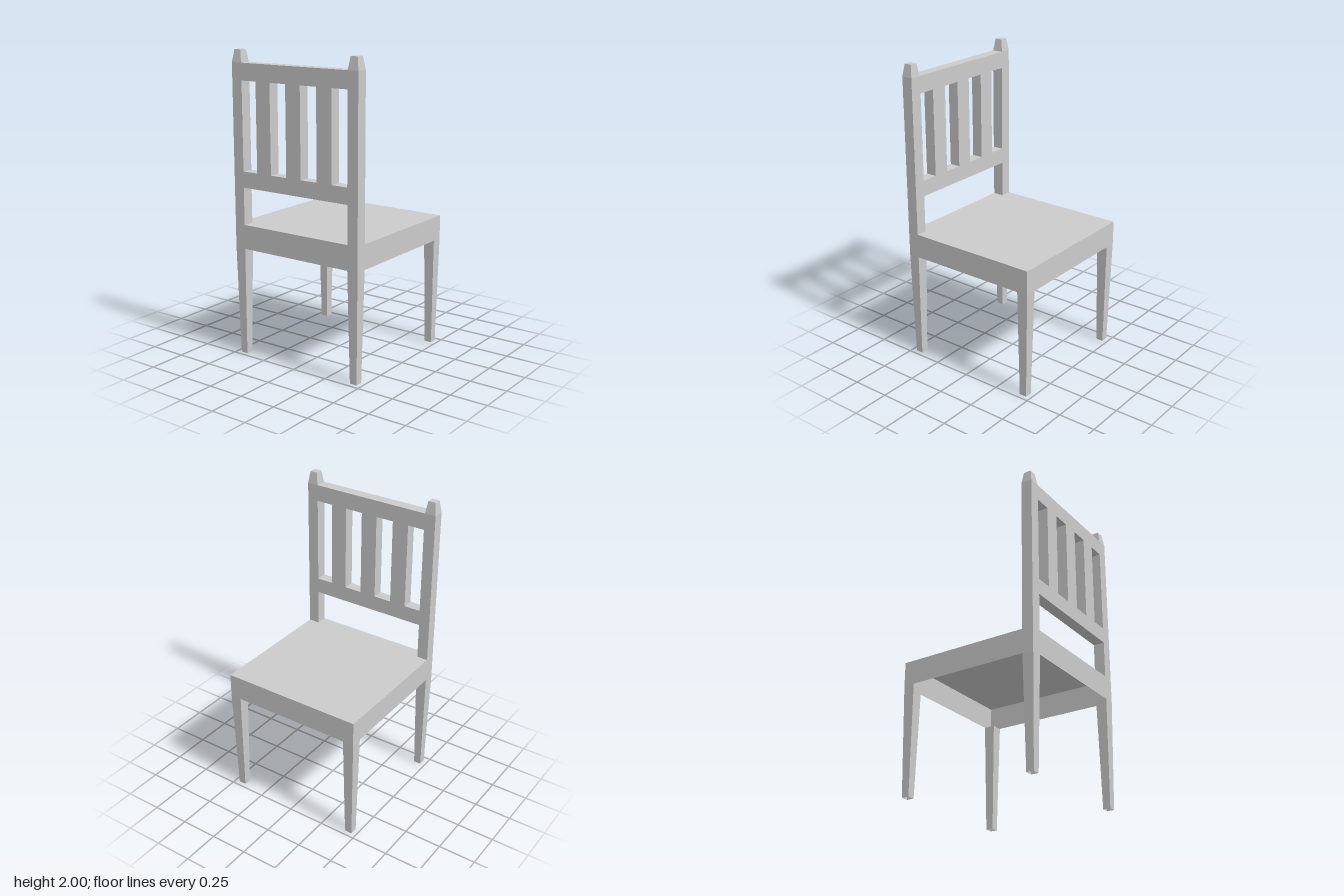
import * as THREE from 'three';

const material = new THREE.MeshStandardMaterial({ color: 0xcccccc, flatShading: true, side: THREE.DoubleSide });
const HALF = 0.48;      // half of the seat's width and depth
const POST = 0.0375;    // half of a post's thickness
const CENTRE = HALF - POST;

function add(parent, name, geometry, x = 0, y = 0, z = 0) {
  const mesh = new THREE.Mesh(geometry, material);
  mesh.name = name;
  mesh.position.set(x, y, z);
  parent.add(mesh);
  return mesh;
}

// Square prism, tapering from the half width at the bottom to that at the top
function taperedPost(bottom, top, y0, y1, open = false) {
  const g = new THREE.CylinderGeometry(top * Math.SQRT2, bottom * Math.SQRT2, y1 - y0, 4, 1, open);
  g.rotateY(Math.PI / 4);
  g.translate(0, (y0 + y1) / 2, 0);
  return g;
}

function rectangle(path, x0, y0, x1, y1) {
  path.moveTo(x0, y0);
  path.lineTo(x1, y0);
  path.lineTo(x1, y1);
  path.lineTo(x0, y1);
  path.closePath();
  return path;
}

export function createModel() {
  const chair = new THREE.Group();
  chair.name = 'chair';

  // Seat top and the thin apron around it, hollow from below
  const seat = new THREE.Group();
  seat.name = 'seat';
  chair.add(seat);
  const top = new THREE.PlaneGeometry(2 * HALF, 2 * HALF);
  top.rotateX(-Math.PI / 2);
  add(seat, 'seatTop', top, 0, 0.885, 0);
  add(seat, 'apron', taperedPost(HALF, HALF, 0.725, 0.885, true));

  // Four tapered legs
  for (const x of [-CENTRE, CENTRE]) {
    for (const z of [-CENTRE, CENTRE]) {
      add(chair, z > 0 ? 'backrestLeg' : 'seatLeg', taperedPost(0.025, POST, 0, 0.725, true), x, 0, z);
    }
    // Backrest post with its tapered cap
    add(chair, 'backrestPost', taperedPost(POST, POST, 0.885, 1.92), x, 0, CENTRE);
    add(chair, 'postCap', taperedPost(POST, 0.025, 1.92, 2), x, 0, CENTRE);
  }

  // Backrest panel: two rails and three slats around four slots
  const inner = HALF - 2 * POST;
  const panel = rectangle(new THREE.Shape(), -inner, 1.13, inner, 1.92);
  for (const [x0, x1] of [[-inner, -0.29], [-0.178, -0.056], [0.056, 0.178], [0.29, inner]]) {
    // Outer slots stop just short of the panel's edge, against the posts
    const a = Math.max(x0, -inner + 0.001), b = Math.min(x1, inner - 0.001);
    panel.holes.push(rectangle(new THREE.Path(), a, 1.235, b, 1.81));
  }
  const panelGeometry = new THREE.ExtrudeGeometry(panel, { depth: 2 * POST, bevelEnabled: false });
  add(chair, 'backrestPanel', panelGeometry, 0, 0, CENTRE - POST);

  return chair;
}
